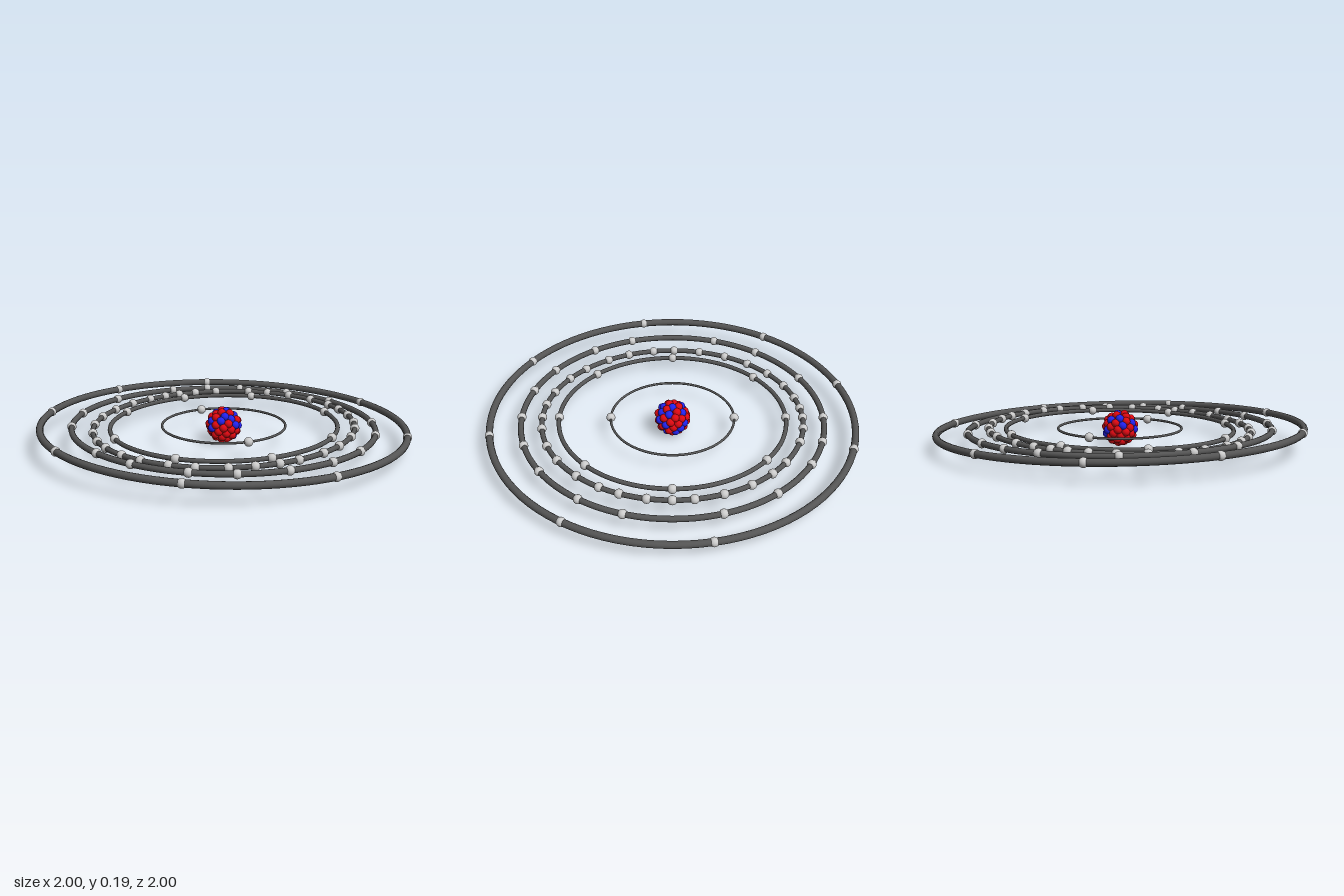
import * as THREE from 'three';

const CENTER_Y = 0.105;

// Each shell: radius, sideways slope, electron bearings in degrees (0 = back, 90 = model's left)
const SHELLS = [
  { r: 0.333, slope: 0, at: [0, 180] },
  { r: 0.612, slope: 0.012, at: [0, 38, 90, 136.4, 180, 225, 270, 319] },
  { r: 0.703, slope: 0.018, at: [
    0, 8.3, 18.6, 34.8, 44.5, 56, 68.9, 81.1, 90, 100.2, 111.7, 120.9, 133, 146.7, 158, 171.2,
    180, 190.1, 200.6, 213.5, 224.5, 237.6, 248.3, 260.6, 270.7, 283, 296, 308.4, 321, 333.3, 344.1, 352.6] },
  { r: 0.814, slope: -0.012, at: [
    0, 15.3, 29.5, 50.5, 72.3, 107, 124.4, 145.6, 162.2, 180, 198, 214.1, 235.4, 252.5, 287.8, 307, 332.2] },
  { r: 0.98, slope: -0.022, at: [16.2, 78.5, 122.6, 170.3, 213.5, 259.5, 304, 341.5] },
];

const material = (color) => new THREE.MeshStandardMaterial({ color });

// Small seeded generator for the nucleus jitter
function seeded(seed) {
  return () => {
    seed = (seed * 16807) % 2147483647;
    return seed / 2147483647;
  };
}

function buildNucleus() {
  const nucleus = new THREE.Group();
  nucleus.name = 'nucleus';
  const rand = seeded(41);
  const ball = new THREE.SphereGeometry(0.0225, 16, 12);
  const red = material(0xdd0811);
  const blue = material(0x2222ee);
  const blueSide = new THREE.Vector3(0.5, 0.6, 0.35).normalize();

  // Nested layers of evenly spread particles
  for (const [count, radius] of [[58, 0.076], [22, 0.045]]) {
    for (let i = 0; i < count; i++) {
      const y = 1 - (2 * (i + 0.5)) / count;
      const ring = Math.sqrt(1 - y * y);
      const a = i * Math.PI * (3 - Math.sqrt(5));
      const dir = new THREE.Vector3(ring * Math.cos(a), y, ring * Math.sin(a));
      const isBlue = rand() < 0.28 + 0.32 * dir.dot(blueSide);
      const particle = new THREE.Mesh(ball, isBlue ? blue : red);
      particle.name = isBlue ? 'neutron' : 'proton';
      particle.position.copy(dir).multiplyScalar(radius + (rand() - 0.5) * 0.006);
      nucleus.add(particle);
    }
  }
  return nucleus;
}

function buildShell({ r, slope, at }, index, ringMaterial, electronMaterial, electronGeometry) {
  const shell = new THREE.Group();
  shell.name = `shell${index + 1}`;

  // Orbit ring, its thickness growing with its radius
  const orbit = new THREE.Mesh(new THREE.TorusGeometry(r, r * 0.0195, 12, 96), ringMaterial);
  orbit.name = 'orbitRing';
  orbit.rotation.x = Math.PI / 2;
  shell.add(orbit);

  // Electrons threaded on the ring
  for (const degrees of at) {
    const a = THREE.MathUtils.degToRad(degrees);
    const electron = new THREE.Mesh(electronGeometry, electronMaterial);
    electron.name = 'electron';
    electron.position.set(r * Math.sin(a), 0, -r * Math.cos(a));
    shell.add(electron);
  }
  shell.rotation.z = Math.atan(slope);
  return shell;
}

export function createModel() {
  const model = new THREE.Group();
  model.name = 'atom';

  const ringMaterial = material(0x555555);
  const electronMaterial = material(0xcccccc);
  const electronGeometry = new THREE.SphereGeometry(0.0245, 16, 12);

  const atom = new THREE.Group();
  atom.name = 'nucleusAndShells';
  atom.position.y = CENTER_Y;
  atom.add(buildNucleus());
  SHELLS.forEach((shell, i) =>
    atom.add(buildShell(shell, i, ringMaterial, electronMaterial, electronGeometry)));
  model.add(atom);
  return model;
}
